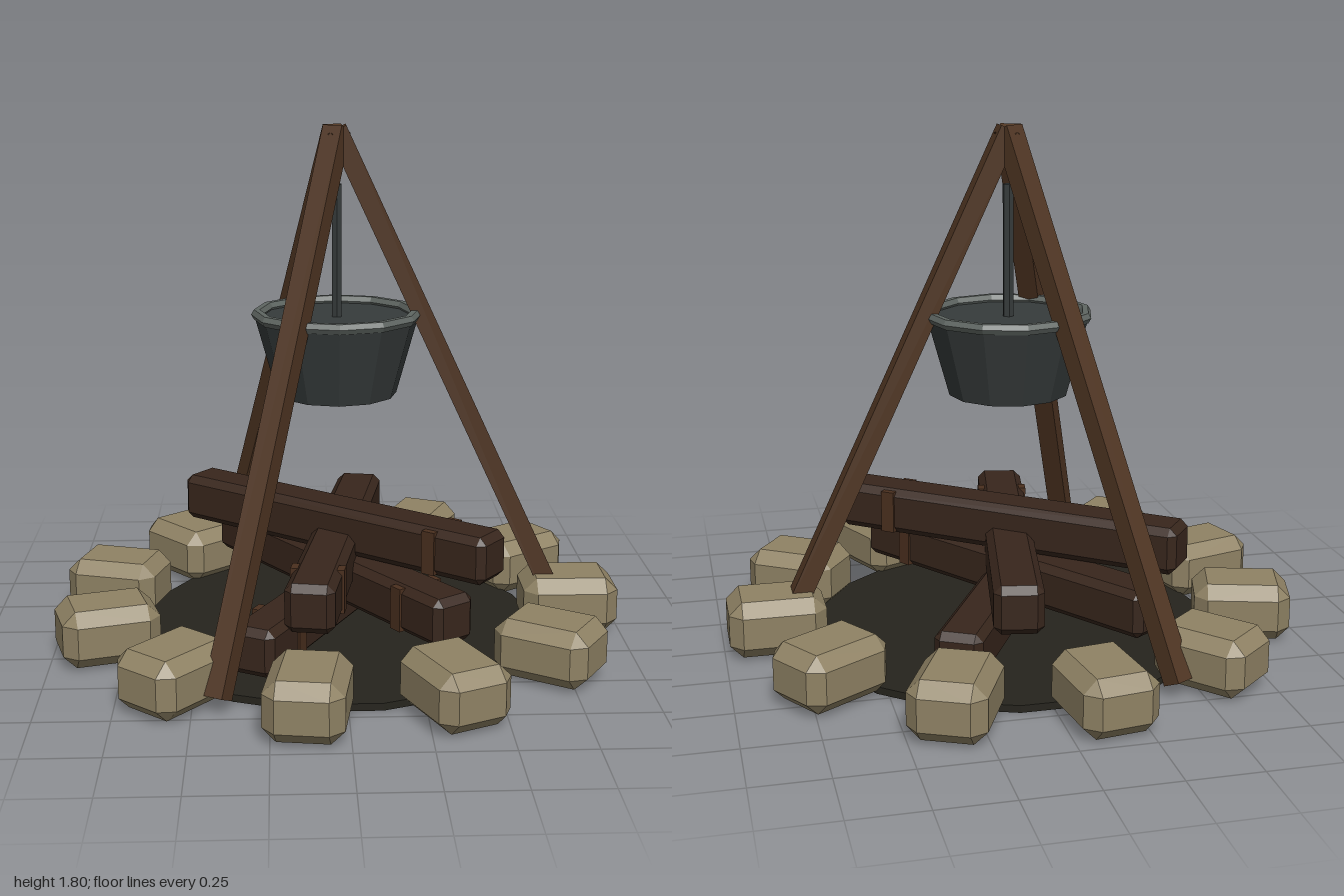
import * as THREE from 'three';
import { ConvexGeometry } from 'three/addons/geometries/ConvexGeometry.js';

const mat = (color) => new THREE.MeshStandardMaterial({ color, flatShading: true });
const rad = THREE.MathUtils.degToRad;

// Box with every edge and corner cut flat
function chamferBox(w, h, d, c) {
  const points = [];
  for (const x of [-1, 1]) for (const y of [-1, 1]) for (const z of [-1, 1]) {
    const [a, b, e] = [w / 2, h / 2, d / 2];
    points.push(
      new THREE.Vector3(x * a, y * (b - c), z * (e - c)),
      new THREE.Vector3(x * (a - c), y * b, z * (e - c)),
      new THREE.Vector3(x * (a - c), y * (b - c), z * e));
  }
  return new ConvexGeometry(points);
}

export function createModel() {
  const model = new THREE.Group();
  const stoneMat = mat(0x8f8264), logMat = mat(0x38261c), knotMat = mat(0x4a2f1e);
  const poleMat = mat(0x4f3522), ironMat = mat(0x363b3b), rimMat = mat(0x5f6662), ashMat = mat(0x26241d);

  const add = (name, geometry, material, parent = model) => {
    const mesh = new THREE.Mesh(geometry, material);
    mesh.name = name;
    parent.add(mesh);
    return mesh;
  };

  // Ash bed
  const ash = add('ashBed', new THREE.CylinderGeometry(0.715, 0.715, 0.025, 18), ashMat);
  ash.position.y = 0.0125;
  ash.rotation.y = rad(10);

  // Ring of stones
  const stoneGeo = chamferBox(0.335, 0.2, 0.258, 0.045);
  for (let i = 0; i < 11; i++) {
    const a = (i / 11) * Math.PI * 2;
    const stone = add('stone', stoneGeo, stoneMat);
    stone.position.set(Math.cos(a) * 0.83, 0.108, Math.sin(a) * 0.83);
    stone.rotation.y = -a;
  }

  // Stacked logs, lowest first, each with a band near one end
  const logGeo = chamferBox(1.3, 0.165, 0.165, 0.025);
  const bandGeo = new THREE.BoxGeometry(0.05, 0.15, 0.18);
  [118, 55, 100, 38].forEach((angle, i) => {
    const log = new THREE.Group();
    log.name = 'log';
    add('logBody', logGeo, logMat, log);
    add('logBand', bandGeo, knotMat, log).position.x = 0.44;
    log.position.y = 0.145 + i * 0.0845;
    log.rotation.y = -rad(angle);
    model.add(log);
  });

  // Tripod poles
  const top = new THREE.Vector2(0, 1.785), foot = new THREE.Vector2(0.81, 0.05);
  const poleGeo = new THREE.BoxGeometry(0.068, top.distanceTo(foot), 0.072);
  poleGeo.rotateZ(Math.atan2(foot.x - top.x, top.y - foot.y));
  poleGeo.translate((top.x + foot.x) / 2, (top.y + foot.y) / 2, 0);
  for (let i = 0; i < 3; i++) {
    add('tripodPole', poleGeo, poleMat).rotation.y = (i / 3) * Math.PI * 2;
  }

  // Hanging pot with its rim and rod
  add('pot', new THREE.CylinderGeometry(0.283, 0.208, 0.27, 12), ironMat).position.y = 1.01;
  const rim = add('potRim', new THREE.TorusGeometry(0.275, 0.02, 6, 12), rimMat);
  rim.rotation.x = Math.PI / 2;
  rim.position.y = 1.153;
  add('hangingRod', new THREE.CylinderGeometry(0.019, 0.019, 0.46, 6), ironMat).position.y = 1.37;

  // Centre the outline
  for (const part of model.children) part.position.x -= 0.0125;
  return model;
}
